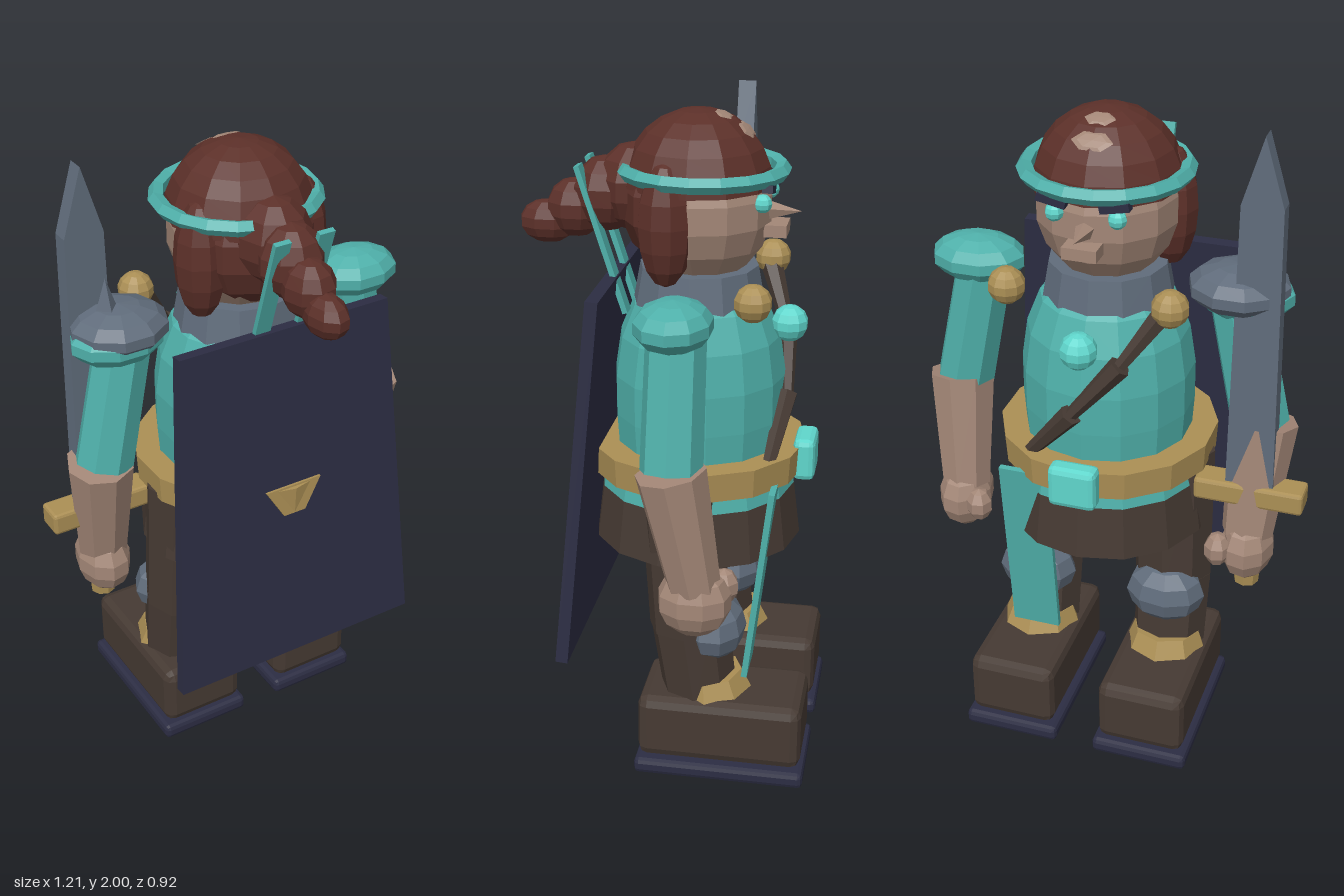
import * as THREE from 'three';
import { RoundedBoxGeometry } from 'three/addons/geometries/RoundedBoxGeometry.js';

const mat = (name, color) => new THREE.MeshStandardMaterial({ name, color, flatShading: true, side: THREE.DoubleSide });
const V = (x, y, z) => new THREE.Vector3(x, y, z);
const CX = 0.025; // body centre line

export function createModel() {
  const teal = mat('teal cloth', 0x4fb0aa), bright = mat('bright gem', 0x5fd6cc);
  const skin = mat('skin', 0xa38777), hair = mat('auburn hair', 0x5c3029);
  const gold = mat('gold', 0xab8f55), brown = mat('brown leather', 0x463a33);
  const navy = mat('navy cloth', 0x2c2d43), grey = mat('grey metal', 0x606c7b);
  const root = new THREE.Group();
  root.name = 'warrior';

  const add = (name, geo, m, x = 0, y = 0, z = 0) => {
    const mesh = new THREE.Mesh(geo, m);
    mesh.name = name;
    mesh.position.set(x, y, z);
    root.add(mesh);
    return mesh;
  };
  const ball = (name, m, x, y, z, rx, ry = rx, rz = rx, w = 10, h = 7) =>
    add(name, new THREE.SphereGeometry(1, w, h).scale(rx, ry, rz), m, x, y, z);
  const box = (name, m, x, y, z, w, h, d) => add(name, new THREE.BoxGeometry(w, h, d), m, x, y, z);
  // tapered cylinder running from a to b
  const limb = (name, m, a, b, ra, rb, n = 8) => {
    const mesh = add(name, new THREE.CylinderGeometry(rb, ra, a.distanceTo(b), n), m);
    mesh.position.copy(a).lerp(b, 0.5);
    mesh.quaternion.setFromUnitVectors(V(0, 1, 0), b.clone().sub(a).normalize());
    return mesh;
  };
  const slab = (pts, depth) => new THREE.ExtrudeGeometry(
    new THREE.Shape(pts.map(p => new THREE.Vector2(...p))), { depth, bevelEnabled: false });

  // legs, boots and arms on both sides
  for (const s of [1, -1]) {
    const X = d => CX + s * d;
    const bx = X(0.212);
    add('sole', new RoundedBoxGeometry(0.303, 0.05, 0.523, 1, 0.015), navy, bx, 0.03, -0.197);
    add('boot', new RoundedBoxGeometry(0.275, 0.205, 0.502, 1, 0.03), brown, bx, 0.163, -0.196);
    limb('bootCuff', gold, V(bx, 0.23, -0.155), V(bx, 0.31, -0.145), 0.135, 0.105);
    limb('shin', brown, V(bx, 0.24, -0.12), V(bx, 0.5, -0.085), 0.115, 0.122);
    limb('thigh', brown, V(bx, 0.47, -0.085), V(X(0.2), 0.94, -0.06), 0.122, 0.13);
    ball('kneePad', grey, bx, 0.47, -0.165, 0.125, 0.1, 0.095, 9, 6);

    limb('upperArm', teal, V(X(0.465), 1.085, -0.075), V(X(0.38), 1.5, -0.075), 0.09, 0.085);
    limb('forearm', skin, V(X(0.458), 0.73, -0.14), V(X(0.478), 1.09, -0.075), 0.078, 0.103);
    ball('hand', skin, X(0.46), 0.685, -0.14, 0.083, 0.108, 0.11, 9, 7);
    ball('thumb', skin, X(0.385), 0.7, -0.215, 0.042, 0.055, 0.045, 7, 5);
    ball('shoulderPad', teal, X(0.405), 1.49, -0.07, 0.145, 0.072, 0.113);
    ball('shoulderStud', gold, X(0.24), 1.51, -0.265, 0.055);

    // side locks, eyes, brows and hair ribbons
    ball('sideLock', hair, X(0.165), 1.7, -0.005, 0.078, 0.18, 0.082, 9, 8);
    ball('eye', bright, X(0.09), 1.755, -0.268, 0.027, 0.027, 0.027, 8, 6);
    box('brow', navy, X(0.09), 1.797, -0.285, 0.085, 0.022, 0.03).rotation.z = s * 0.2;
    const ribbon = box('headbandRibbon', teal, X(0.07), 1.625, 0.198, 0.05, 0.45, 0.016);
    ribbon.rotation.x = 0.31;
  }

  // waist: skirt, tunic hem, belt, buckle
  const cyl = (name, m, y0, y1, r0, r1, n = 14) =>
    add(name, new THREE.CylinderGeometry(r1, r0, y1 - y0, n), m, CX, (y0 + y1) / 2, -0.075);
  cyl('skirt', brown, 0.705, 0.87, 0.318, 0.297);
  cyl('tunicHem', teal, 0.868, 0.935, 0.297, 0.285);
  cyl('belt', gold, 0.925, 1.012, 0.325, 0.33);
  add('buckle', new RoundedBoxGeometry(0.145, 0.13, 0.065, 1, 0.018), bright, CX, 0.97, -0.405);

  // torso and collar
  const profile = [[0.25, 0.98], [0.258, 1.1], [0.258, 1.22], [0.24, 1.34], [0.2, 1.44], [0.13, 1.5], [0, 1.51]];
  add('torso', new THREE.LatheGeometry(profile.map(p => new THREE.Vector2(...p)), 14), teal, CX, 0, -0.08);
  cyl('collar', grey, 1.44, 1.55, 0.195, 0.175, 12);
  ball('brooch', bright, CX, 1.38, -0.345, 0.055);

  // chest strap, in tapered lengths across the front
  const strap = [V(-0.2, 1.5, -0.26), V(-0.09, 1.34, -0.325), V(0.05, 1.17, -0.345), V(0.2, 0.99, -0.31)];
  for (let i = 0; i < 3; i++) limb('chestStrap', brown, strap[i], strap[i + 1], 0.034, 0.02, 6);

  // hanging sash
  box('sash', teal, 0.21, 0.63, -0.297, 0.15, 0.62, 0.018).rotation.x = -0.115;

  // head and face
  ball('head', skin, CX, 1.72, -0.077, 0.207, 0.225, 0.21, 12, 9);
  add('nose', new THREE.ConeGeometry(0.03, 0.1, 5).rotateX(-Math.PI / 2), skin, CX, 1.715, -0.32);
  box('mouth', skin, CX, 1.665, -0.3, 0.1, 0.035, 0.065);

  // hair cap, back of hair, and the parting where the scalp shows
  add('hairCap', new THREE.SphereGeometry(0.216, 12, 6, 0, Math.PI * 2, 0, Math.PI * 0.5), hair, CX, 1.785, -0.07);
  ball('hairBack', hair, CX, 1.73, 0, 0.19, 0.19, 0.155);
  for (const [a, w] of [[0.34, 0.045], [0.72, 0.06]]) {
    const patch = ball('scalpPatch', skin, CX, 1.785 + 0.211 * Math.cos(a), -0.07 - 0.211 * Math.sin(a), w, 0.006, 0.032, 6, 4);
    patch.rotation.x = -a;
  }

  // ponytail, a chain of shrinking lobes
  for (const [z, y, r, rz] of [[0.11, 1.77, 0.13, 0.12], [0.2, 1.745, 0.112, 0.1], [0.29, 1.7, 0.088, 0.09], [0.375, 1.655, 0.065, 0.088]])
    ball('ponytailLobe', hair, CX, y, z, r * 0.88, r, rz, 9, 7);

  // headband
  add('headband', new THREE.TorusGeometry(0.229, 0.024, 5, 18).rotateX(Math.PI / 2), teal, CX, 1.83, -0.085);

  // cape, leaning outward, with its emblem
  const cape = new THREE.Group();
  cape.name = 'capeGroup';
  cape.position.set(CX, 1.52, 0.152);
  cape.rotation.x = -0.088;
  root.add(cape);
  const cloth = add('cape', slab([[-0.418, -1.115], [0.418, -1.115], [0.347, 0], [-0.347, 0]], 0.037), navy);
  const emblem = add('capeEmblem', slab([[-0.037, -0.605], [0.037, -0.605], [0.095, -0.508], [-0.095, -0.508]], 0.008), gold, 0, 0, 0.037);
  cape.add(cloth, emblem);

  // plated shoulder with spike
  ball('shoulderPlate', grey, -0.365, 1.518, -0.085, 0.15, 0.07, 0.14);
  add('shoulderSpike', new THREE.ConeGeometry(0.045, 0.13, 4), grey, -0.4, 1.61, -0.085);

  // sword
  const sx = -0.438, sz = -0.147;
  add('swordBlade', slab([[-0.072, 0.9], [0.072, 0.9], [0.06, 1.8], [0, 2], [-0.06, 1.8]], 0.054), grey, sx, 0, sz - 0.027);
  add('swordGuard', new RoundedBoxGeometry(0.33, 0.07, 0.09, 1, 0.01), gold, sx, 0.885, sz);
  limb('swordGrip', brown, V(sx, 0.6, sz), V(sx, 0.87, sz), 0.03, 0.03);
  limb('swordPommel', gold, V(sx, 0.555, sz), V(sx, 0.61, sz), 0.038, 0.042);

  return root;
}
